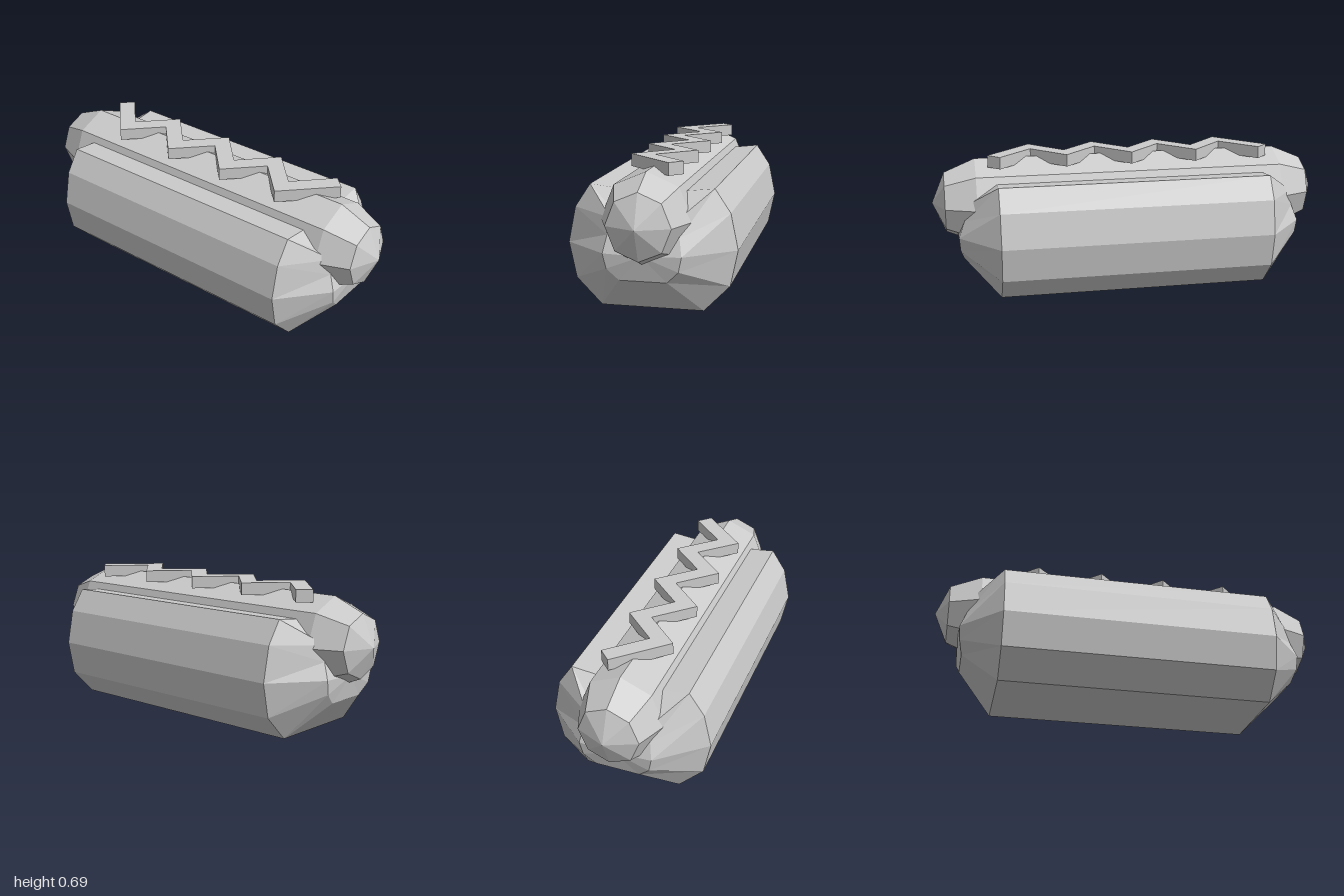
import * as THREE from 'three';

const material = () => new THREE.MeshStandardMaterial({ color: 0xcccccc, flatShading: true });

// Half sections of the bun as [x, y, z], from the bottom up
const BODY = [
  [0.68, 0, 0.243], [0.68, 0.125, 0.365], [0.68, 0.295, 0.4],
  [0.68, 0.465, 0.365], [0.68, 0.575, 0.292], [0.68, 0.553, 0.1],
];
const TIP = [
  [0.855, 0.175, 0.11], [0.87, 0.23, 0.165], [0.875, 0.3, 0.18],
  [0.845, 0.38, 0.165], [0.84, 0.455, 0.15], [0.84, 0.43, 0.08],
];
const APEX = BODY.map(() => [0.88, 0.295, 0]);

// Closed ring from a half section, on the left (+1) or right (-1) end
function ring(half, side) {
  const near = half.map(([x, y, z]) => [x * side, y, z]);
  const far = near.map(([x, y, z]) => [x, y, -z]).reverse();
  return [...near, ...far];
}

// Skin a row of rings that run towards +x
function loft(rings) {
  const pos = [];
  for (let r = 0; r < rings.length - 1; r++) {
    const p = rings[r], q = rings[r + 1], n = p.length;
    for (let i = 0; i < n; i++) {
      const j = (i + 1) % n;
      pos.push(...p[i], ...q[i], ...q[j], ...p[i], ...q[j], ...p[j]);
    }
  }
  const geometry = new THREE.BufferGeometry();
  geometry.setAttribute('position', new THREE.Float32BufferAttribute(pos, 3));
  geometry.computeVertexNormals();
  return geometry;
}

export function createModel() {
  const group = new THREE.Group();
  const add = (name, geometry) => {
    const mesh = new THREE.Mesh(geometry, material());
    mesh.name = name;
    group.add(mesh);
    return mesh;
  };

  // Bun with bevelled ends
  add('bun', loft([
    ring(APEX, -1), ring(TIP, -1), ring(BODY, -1),
    ring(BODY, 1), ring(TIP, 1), ring(APEX, 1),
  ]));

  // Eight-sided sausage lying along x
  const profile = [[0, -1], [0.155, -0.935], [0.22, -0.78], [0.22, 0.78], [0.155, 0.935], [0, 1]];
  const sausage = new THREE.LatheGeometry(profile.map(([r, y]) => new THREE.Vector2(r, y)), 8);
  sausage.rotateZ(-Math.PI / 2).scale(1, 1, 0.965).translate(0, 0.44, 0);
  add('sausage', sausage);

  // Zigzag sauce strip, drawn in x and z
  const back = [], front = [];
  for (let i = -4; i <= 4; i++) {
    const x = i * 0.165, odd = i % 2 !== 0;
    back.push(new THREE.Vector2(x, odd ? 0.028 : -0.145));
    if (Math.abs(i) < 4) front.push(new THREE.Vector2(x, odd ? 0.145 : -0.028));
  }
  front.unshift(new THREE.Vector2(-0.718, -0.087));
  front.push(new THREE.Vector2(0.718, -0.087));
  const sauce = new THREE.ExtrudeGeometry(new THREE.Shape([...back, ...front.reverse()]), {
    depth: 0.06, bevelEnabled: false,
  });
  sauce.rotateX(Math.PI / 2).translate(0, 0.692, 0);
  add('sauce', sauce);

  return group;
}
